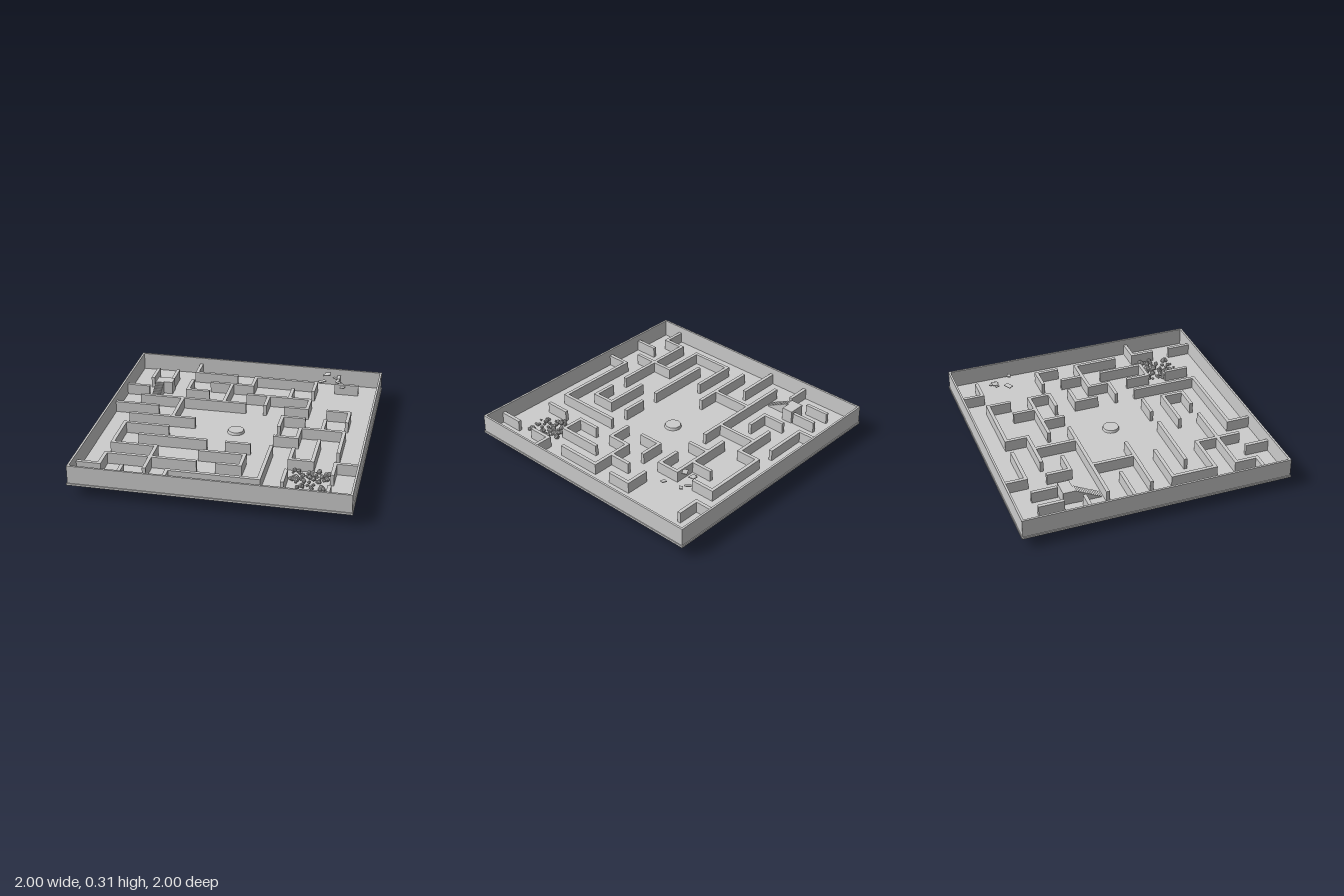
import * as THREE from 'three';

const CELL = 0.1628, T = 0.026, FLOOR = 0.1, WALL_H = 0.085;

// Maze walls in grid units: [line, from, to]
const ALONG_X = [
  [-5, -3, -1], [-5, 0, 3], [-5, 4, 5], [-4, -2, 0], [-3, -6, -5], [-3, -3, -2], [-3, 0, 3],
  [-2, -5, 0], [-2, 2, 3], [-2, 4, 5], [-1, -6, -4], [-1, 2, 3], [0, -5, -2], [0, 3, 5],
  [1, -5, -3], [1, 2, 3], [2, -4, -1], [2, 0, 1], [3, -5, -3], [3, -1, 1], [3, 3, 4],
  [3, 5, 6], [4, -5, -1], [4, 0, 1], [5, -6, -5], [5, -2, 2],
];
const ALONG_Z = [
  [-5, -5, -4], [-5, 1, 3], [-5, 4, 5], [-4, -5, -4], [-4, 5, 6], [-3, -6, -5], [-3, -4, -3],
  [-3, -2, 0], [-3, 3, 5], [-2, 5, 6], [-1, -4, -2], [0, -5, -4], [1, -3, -2], [1, 3, 4],
  [2, -4, -3], [2, -1, 0], [2, 2, 5], [3, -5, -4], [3, -3, -2], [3, 0, 1], [3, 2, 3], [3, 4, 5],
  [4, -6, -5], [4, -1, 0], [4, 1, 3], [5, -2, -1], [5, 0, 2], [5, 3, 4], [5, 5, 6],
];

function seeded(seed) {
  return () => (seed = (seed * 16807) % 2147483647) / 2147483647;
}

export function createModel() {
  const model = new THREE.Group();
  const stone = new THREE.MeshStandardMaterial({ color: 0xcccccc, flatShading: true });
  stone.name = 'grey stone';

  const add = (name, geometry, x, y, z, parent = model) => {
    const mesh = new THREE.Mesh(geometry, stone);
    mesh.name = name;
    mesh.position.set(x, y, z);
    parent.add(mesh);
    return mesh;
  };
  // Box given by its limits on each axis
  const block = (name, x0, x1, y0, y1, z0, z1, parent) =>
    add(name, new THREE.BoxGeometry(x1 - x0, y1 - y0, z1 - z0),
      (x0 + x1) / 2, (y0 + y1) / 2, (z0 + z1) / 2, parent);
  const group = (name) => {
    const g = new THREE.Group();
    g.name = name;
    model.add(g);
    return g;
  };

  // Floor slab and the block hanging under one corner
  block('floor', -1, 1, 0.085, FLOOR, -1, 1);
  block('underBlock', 0.868, 0.915, 0, 0.085, -0.925, -0.855);

  // Outer wall: a square frame
  const square = (r) => [[-r, -r], [r, -r], [r, r], [-r, r]].map(([x, y]) => new THREE.Vector2(x, y));
  const frame = new THREE.Shape(square(0.994));
  frame.holes.push(new THREE.Path(square(0.979)));
  const frameGeometry = new THREE.ExtrudeGeometry(frame, { depth: 0.235 - FLOOR, bevelEnabled: false });
  add('outerWall', frameGeometry.rotateX(-Math.PI / 2), 0, FLOOR, 0);

  // Maze walls
  const maze = group('mazeWalls');
  const end = (v) => THREE.MathUtils.clamp(v, -0.98, 0.98);
  const top = FLOOR + WALL_H;
  for (const [z, a, b] of ALONG_X)
    block('mazeWall', end(a * CELL - T / 2), end(b * CELL + T / 2), FLOOR, top,
      z * CELL - T / 2, z * CELL + T / 2, maze);
  for (const [x, a, b] of ALONG_Z)
    block('mazeWall', x * CELL - T / 2, x * CELL + T / 2, FLOOR, top,
      end(a * CELL - T / 2), end(b * CELL + T / 2), maze);

  // Round dais in the middle
  add('dais', new THREE.CylinderGeometry(0.058, 0.064, 0.02, 32), 0, FLOOR + 0.01, 0);

  // Stairs climbing to a raised platform
  const stairs = group('stairs');
  const steps = 14, front = -0.35, back = -0.545, rise = 0.1;
  block('platform', -0.762, -0.63, FLOOR, FLOOR + rise, -0.63, back, stairs);
  for (let i = 0; i < steps; i++) {
    const depth = (front - back) / steps;
    block('step', -0.764, -0.7, FLOOR, FLOOR + rise * (i + 1) / steps,
      front - (i + 1) * depth, front - i * depth, stairs);
  }

  // Heap of loose rubble in one chamber
  const rubble = group('rubble');
  const random = seeded(417);
  for (let i = 0; i < 75; i++) {
    const r = 0.008 + 0.012 * random();
    const rock = add('rock', new THREE.IcosahedronGeometry(r, 0),
      0.51 + 0.275 * random(), FLOOR + r * 0.8 + 0.008 * random(), 0.515 + 0.265 * random(), rubble);
    rock.rotation.set(random() * 3, random() * 3, random() * 3);
  }

  // Single pebble in the front corner
  add('pebble', new THREE.IcosahedronGeometry(0.014, 0), -0.895, FLOOR + 0.013, 0.89);

  // Thin slabs floating above the walls: x, y, z, width, depth, turn
  const slabs = group('floatingSlabs');
  [
    [0.56, 0.285, -0.627, 0.058, 0.038, 0.55],
    [0.59, 0.305, -0.725, 0.044, 0.046, 0.05],
    [0.565, 0.298, -0.715, 0.022, 0.03, 0.2],
    [0.65, 0.27, -0.735, 0.05, 0.018, -0.8],
    [0.68, 0.252, -0.698, 0.035, 0.028, 0.7],
    [0.724, 0.27, -0.578, 0.037, 0.03, -0.3],
  ].forEach(([x, y, z, w, d, turn], i) => {
    const slab = add('slab', new THREE.BoxGeometry(w, 0.006, d), x, y, z, slabs);
    slab.rotation.set(0.1 * (i % 2 ? 1 : -1), turn, 0.12);
  });

  return model;
}
